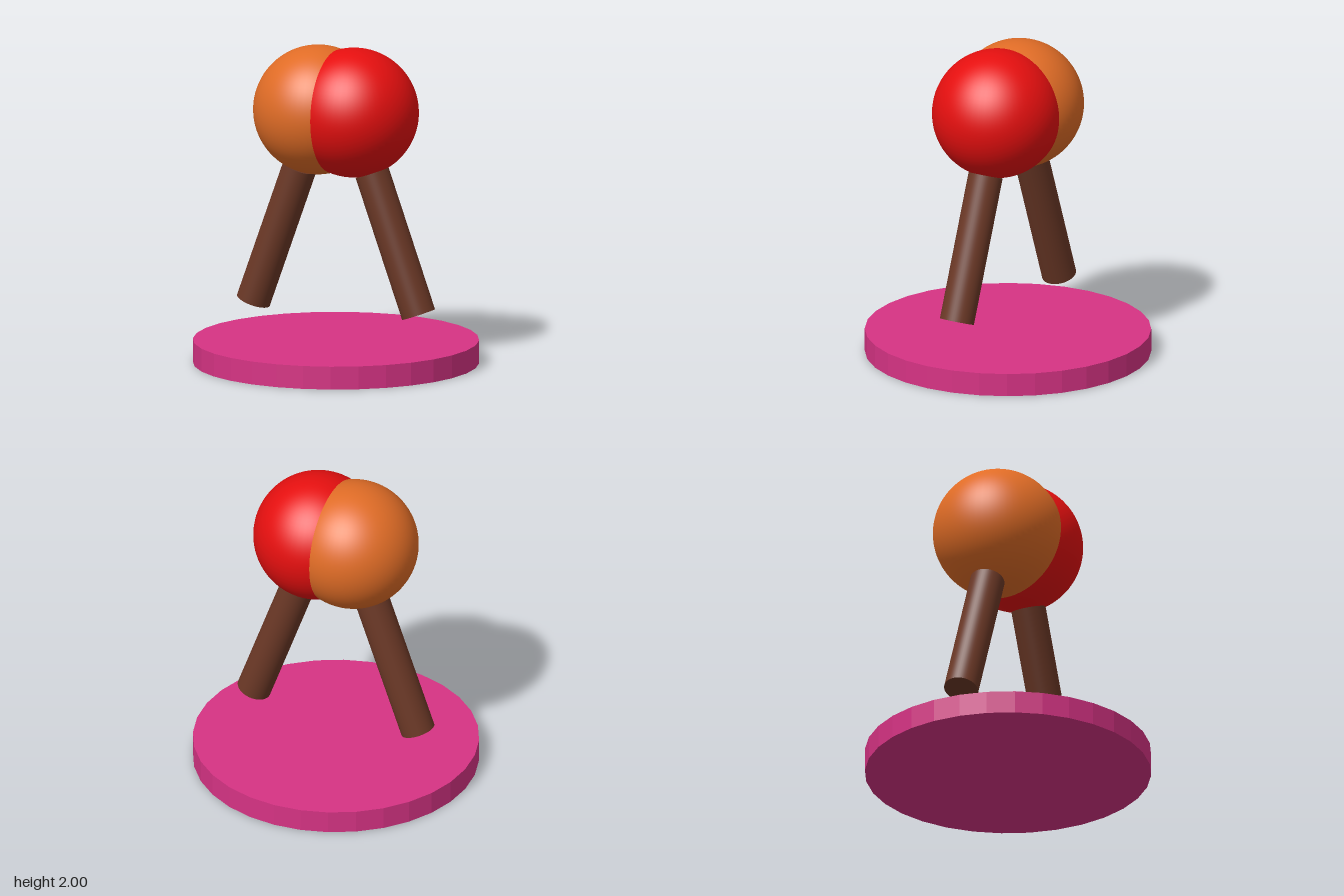
import * as THREE from 'three';

export function createModel() {
  const model = new THREE.Group();
  const material = (name, color, flatShading = false) => {
    const m = new THREE.MeshStandardMaterial({ color, flatShading });
    m.name = name;
    return m;
  };
  const pink = material('pink', 0xd63384, true);
  const red = material('red', 0xe50f0f);
  const orange = material('orange', 0xe06c26);
  const brown = material('brown', 0x6b3826);

  const add = (name, geometry, mat, x, y) => {
    const mesh = new THREE.Mesh(geometry, mat);
    mesh.name = name;
    mesh.position.set(x, y, 0);
    model.add(mesh);
    return mesh;
  };

  // Faceted round base
  add('base', new THREE.CylinderGeometry(0.893, 0.893, 0.145, 32), pink, 0, 0.0725);

  // Two overlapping spheres and two splayed legs
  const ball = new THREE.SphereGeometry(0.405, 64, 48);
  const leg = new THREE.CylinderGeometry(0.108, 0.108, 0.93, 48);
  for (const side of [1, -1]) {
    const label = side > 0 ? 'left' : 'right';
    add(label + 'Ball', ball, side > 0 ? red : orange, side * 0.123, 1.595);
    add(label + 'Leg', leg, brown, side * 0.407, 0.785).rotation.z = side * THREE.MathUtils.degToRad(20);
  }
  return model;
}
